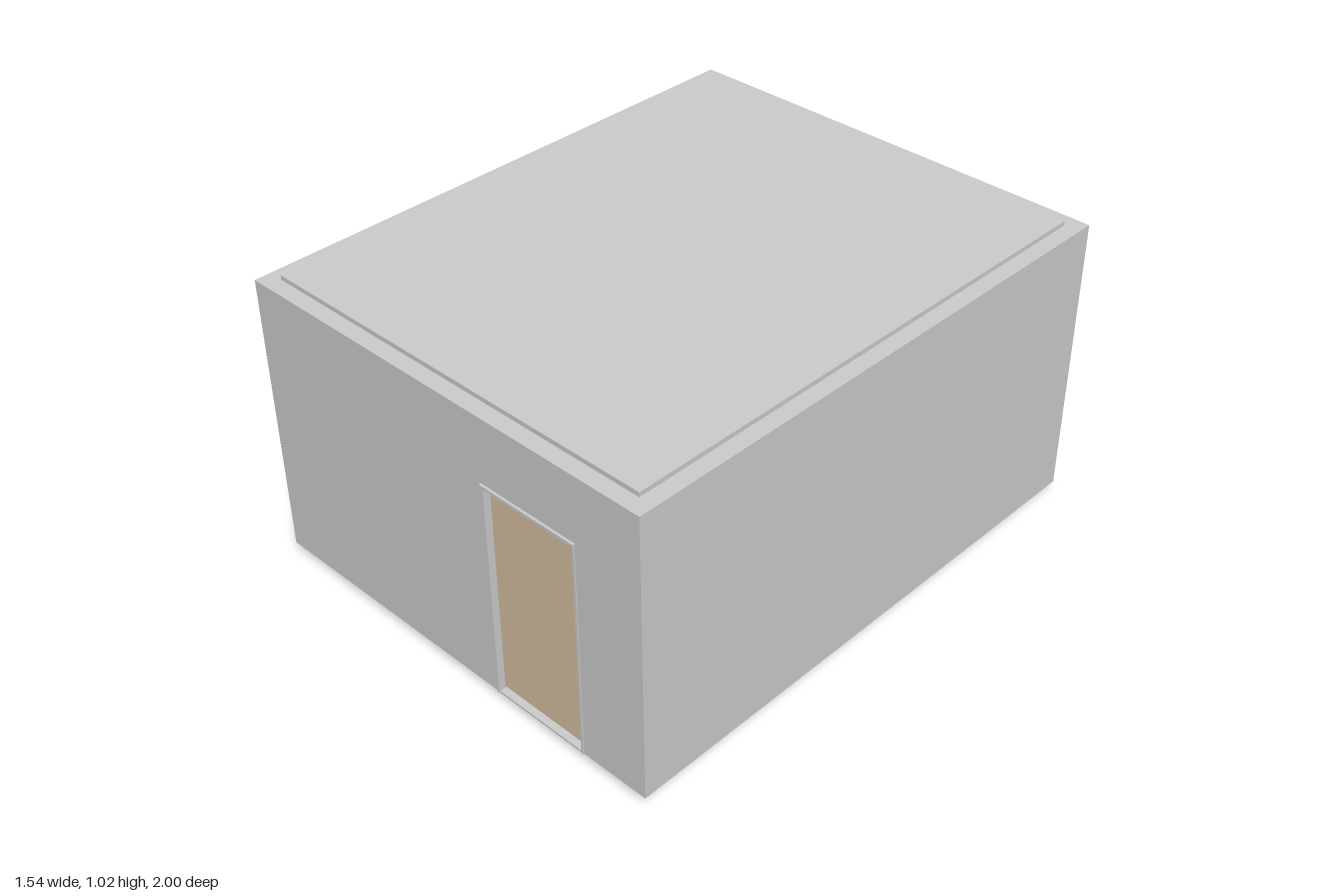
import * as THREE from 'three';

const grey = new THREE.MeshStandardMaterial({ color: 0xcccccc });
const floorMat = new THREE.MeshStandardMaterial({ color: 0xd2dade });
const wood = new THREE.MeshStandardMaterial({ color: 0xd3bc9f });
const blue = new THREE.MeshStandardMaterial({ color: 0x7da0d0 });

// Box given by its minimum and maximum on each axis
function box(name, [x0, x1], [y0, y1], [z0, z1], material = grey) {
  const mesh = new THREE.Mesh(new THREE.BoxGeometry(x1 - x0, y1 - y0, z1 - z0), material);
  mesh.position.set((x0 + x1) / 2, (y0 + y1) / 2, (z0 + z1) / 2);
  mesh.name = name;
  return mesh;
}

// Outer room limits and wall thickness
const W = 0.77, BACK = -0.9, FRONT = 0.992, BASE = 0.04, TOP = 1.005, T = 0.053;
const DOOR = { left: 0.19, right: 0.527, top: 0.778 };

function frontWall() {
  const { left, right, top } = DOOR;
  // Outline notched by the doorway
  const shape = new THREE.Shape([
    [-W, BASE], [left, BASE], [left, top], [right, top],
    [right, BASE], [W, BASE], [W, TOP], [-W, TOP],
  ].map(([x, y]) => new THREE.Vector2(x, y)));
  const geometry = new THREE.ExtrudeGeometry(shape, { depth: T, bevelEnabled: false });
  const mesh = new THREE.Mesh(geometry, grey);
  mesh.position.z = FRONT - T;
  mesh.name = 'frontWall';
  return mesh;
}

function doorway() {
  const group = new THREE.Group();
  group.name = 'doorway';
  const { left, right, top } = DOOR;
  const z = [FRONT - 0.01, 1];
  // Recessed leaf with a small gap at the floor
  group.add(box('doorLeaf', [left, right], [BASE + 0.01, top], [0.948, 0.972], wood));
  group.add(box('threshold', [left, right], [BASE - 0.003, BASE + 0.004], [0.935, FRONT]));
  // Slim trim around the opening
  group.add(box('lintel', [left - 0.01, right + 0.01], [top, top + 0.01], z));
  group.add(box('jamb', [left - 0.008, left], [BASE, top], [z[0], 0.996]));
  group.add(box('jamb', [right, right + 0.008], [BASE, top], [z[0], 0.996]));
  return group;
}

function chair() {
  const group = new THREE.Group();
  group.name = 'chair';
  group.add(box('seat', [-0.08, 0.08], [0.19, 0.208], [-0.08, 0.08], blue));
  group.add(box('backrest', [-0.08, 0.08], [0.208, 0.385], [-0.075, -0.063], blue));
  for (const x of [-0.065, 0.065]) {
    for (const z of [-0.058, 0.058]) {
      group.add(box('leg', [x - 0.006, x + 0.006], [BASE, 0.19], [z - 0.006, z + 0.006]));
    }
  }
  group.position.set(-0.218, 0, -0.92);
  return group;
}

export function createModel() {
  const model = new THREE.Group();
  model.name = 'room';

  // Floor and roof slabs, inset by the wall thickness
  const sx = [-0.717, 0.717], sz = [BACK + T, FRONT - T];
  model.add(box('floor', sx, [0, BASE], sz, floorMat));
  model.add(box('roof', sx, [0.98, 1.02], sz));

  // Walls
  model.add(frontWall());
  model.add(box('backWall', [-W, W], [BASE, TOP], [BACK, BACK + T]));
  for (const s of [-1, 1]) {
    const x = s < 0 ? [-W, -W + T] : [W - T, W];
    model.add(box(s < 0 ? 'rightWall' : 'leftWall', x, [BASE, TOP], sz));
  }

  model.add(doorway(), chair());
  return model;
}
